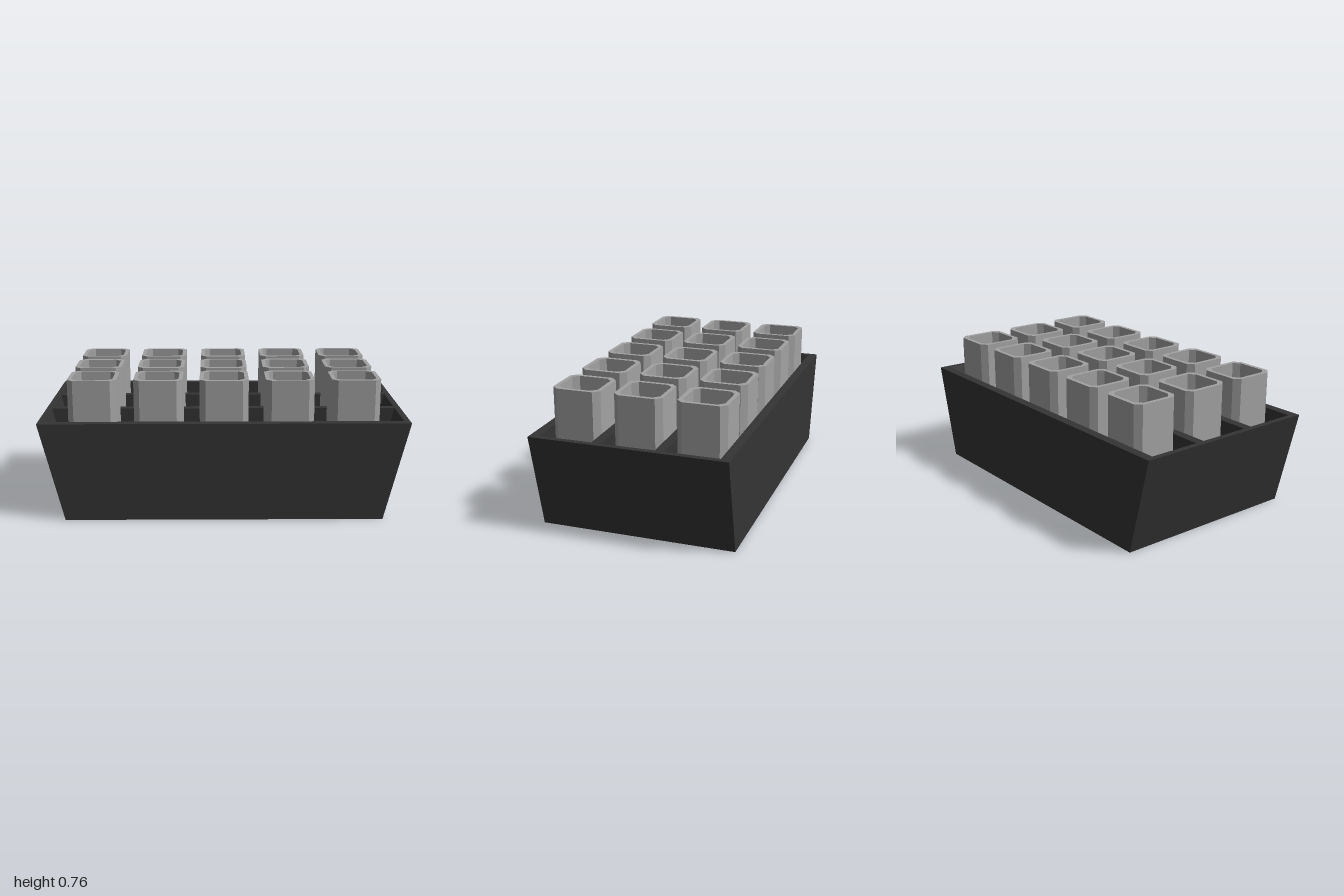
import * as THREE from 'three';

const HEIGHT = 0.54, FLOOR = 0.03, HALF_Z = 0.535, SLOPE = 0.25;
const CUP_TOP = 0.76, CUP_BASE = 0.05;

// Rectangle with cut corners, centred on (cx, cy)
function cutRect(Type, w, h, cut, cx = 0, cy = 0) {
  const x = w / 2, y = h / 2;
  const points = [
    [-x + cut, -y], [x - cut, -y], [x, -y + cut], [x, y - cut],
    [x - cut, y], [-x + cut, y], [-x, y - cut], [-x, -y + cut],
  ];
  return new Type(points.map(([a, b]) => new THREE.Vector2(a + cx, b + cy)));
}

function rect(Type, w, h, cy = 0) {
  const x = w / 2, y = h / 2;
  return new Type([[-x, -y], [x, -y], [x, y], [-x, y]].map(([a, b]) => new THREE.Vector2(a, b + cy)));
}

// Extrude a plan upwards from y0 to y1
function extrudeUp(shape, y0, y1) {
  return new THREE.ExtrudeGeometry(shape, { depth: y1 - y0, bevelEnabled: false })
    .rotateX(-Math.PI / 2)
    .translate(0, y0, 0);
}

// Lean the end walls inwards towards the base
function taperEnds(geometry) {
  const p = geometry.attributes.position;
  for (let i = 0; i < p.count; i++) {
    const x = p.getX(i);
    p.setX(i, x - Math.sign(x) * SLOPE * (HEIGHT - p.getY(i)));
  }
  geometry.computeVertexNormals();
  return geometry;
}

export function createModel() {
  const model = new THREE.Group();
  model.name = 'cupTray';
  const trayDark = new THREE.MeshStandardMaterial({ color: 0x343434 });
  trayDark.name = 'charcoal';
  const cupGrey = new THREE.MeshStandardMaterial({ color: 0xa2a2a2 });
  cupGrey.name = 'lightGrey';

  function add(parent, name, geometry, material) {
    const mesh = new THREE.Mesh(geometry, material);
    mesh.name = name;
    parent.add(mesh);
    return mesh;
  }

  // Tray walls and dividers around three long slots
  const rows = [-0.34, 0, 0.34];
  const plan = rect(THREE.Shape, 2, HALF_Z * 2);
  rows.forEach((z) => plan.holes.push(rect(THREE.Path, 1.935, 0.29, z)));
  add(model, 'trayWalls', taperEnds(extrudeUp(plan, FLOOR, HEIGHT)), trayDark);

  // Tray floor
  add(model, 'trayFloor', taperEnds(extrudeUp(rect(THREE.Shape, 2, HALF_Z * 2), 0, FLOOR)), trayDark);

  // Square cups with cut corners, five to a slot
  const ring = cutRect(THREE.Shape, 0.264, 0.264, 0.032);
  ring.holes.push(cutRect(THREE.Path, 0.22, 0.22, 0.03));
  const wallGeometry = extrudeUp(ring, CUP_BASE, CUP_TOP);
  const baseGeometry = extrudeUp(cutRect(THREE.Shape, 0.264, 0.264, 0.032), FLOOR, CUP_BASE);
  for (const z of rows) {
    for (let column = -2; column <= 2; column++) {
      const cup = new THREE.Group();
      cup.name = 'cup';
      cup.position.set(column * 0.355, 0, z);
      add(cup, 'cupWall', wallGeometry, cupGrey);
      add(cup, 'cupBase', baseGeometry, cupGrey);
      model.add(cup);
    }
  }
  return model;
}
